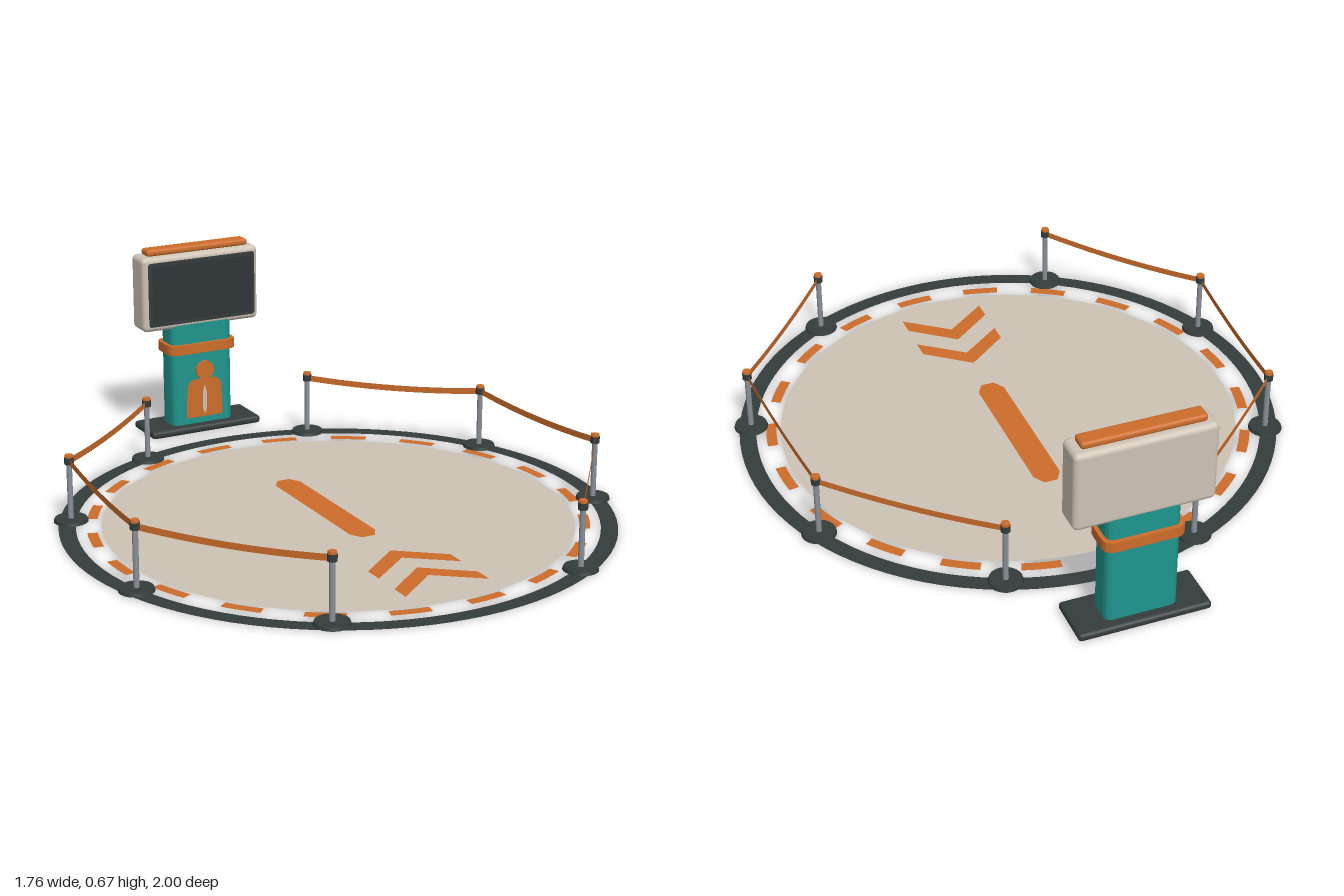
import * as THREE from 'three';
import { toCreasedNormals } from 'three/addons/utils/BufferGeometryUtils.js';
import { RoundedBoxGeometry } from 'three/addons/geometries/RoundedBoxGeometry.js';

const material = (name, color, side = THREE.FrontSide) => {
  const m = new THREE.MeshStandardMaterial({ color, side });
  m.name = name;
  return m;
};

// Rounded rectangle centred on the origin
function roundedRect(w, h, r) {
  const x = w / 2, y = h / 2, s = new THREE.Shape();
  s.moveTo(-x + r, -y);
  s.lineTo(x - r, -y).quadraticCurveTo(x, -y, x, -y + r);
  s.lineTo(x, y - r).quadraticCurveTo(x, y, x - r, y);
  s.lineTo(-x + r, y).quadraticCurveTo(-x, y, -x, y - r);
  s.lineTo(-x, -y + r).quadraticCurveTo(-x, -y, -x + r, -y);
  return s;
}

const polygon = (points) => new THREE.Shape(points.map(([x, y]) => new THREE.Vector2(x, y)));

// Upright prism with rounded vertical edges, standing on y = 0
function prism(w, d, h, r) {
  const g = new THREE.ExtrudeGeometry(roundedRect(w, d, r), { depth: h, bevelEnabled: false, curveSegments: 6 });
  return toCreasedNormals(g.rotateX(-Math.PI / 2), 0.7);
}

// Vertical ribbon sagging between two points
function ribbon(a, b, height, sag, steps = 14) {
  const g = new THREE.PlaneGeometry(1, height, steps, 1);
  const p = g.attributes.position;
  for (let i = 0; i < p.count; i++) {
    const t = p.getX(i) + 0.5;
    const y = p.getY(i) - 4 * sag * t * (1 - t);
    p.setXYZ(i, a.x + (b.x - a.x) * t, a.y + y, a.z + (b.z - a.z) * t);
  }
  g.computeVertexNormals();
  return g;
}

export function createModel() {
  const beige = material('beige', 0xcdc3b5, THREE.DoubleSide);
  const orange = material('orange', 0xcc6c2a, THREE.DoubleSide);
  const dark = material('charcoal', 0x343c3c, THREE.DoubleSide);
  const glass = material('screenGlass', 0x2e3638);
  const teal = material('teal', 0x1f968d);
  const metal = material('metal', 0x8a9099);

  const model = new THREE.Group();
  model.name = 'queueArea';
  const add = (parent, name, geometry, mat, x = 0, y = 0, z = 0) => {
    const mesh = new THREE.Mesh(geometry, mat);
    mesh.name = name;
    mesh.position.set(x, y, z);
    parent.add(mesh);
    return mesh;
  };
  const group = (parent, name, z = 0) => {
    const g = new THREE.Group();
    g.name = name;
    g.position.z = z;
    parent.add(g);
    return g;
  };

  // Floor markings: flat sheets lying on the ground
  const floor = group(model, 'floor', 0.12);
  const lay = (name, geometry, mat, y) => add(floor, name, geometry.rotateX(-Math.PI / 2), mat, 0, y, 0);
  lay('floorDisc', new THREE.CircleGeometry(0.746, 96), beige, 0);
  lay('outerRing', new THREE.RingGeometry(0.826, 0.88, 96), dark, 0.001);
  for (let i = 0; i < 20; i++) {
    lay('dash', new THREE.RingGeometry(0.76, 0.793, 6, 1, i * Math.PI / 10, Math.PI / 20), orange, 0.002);
  }
  const bar = polygon([[-0.045, -0.157], [-0.022, -0.195], [0.022, -0.195], [0.045, -0.157],
    [0.045, 0.342], [0.022, 0.38], [-0.022, 0.38], [-0.045, 0.342]]);
  lay('centreBar', new THREE.ShapeGeometry(bar), orange, 0.004);
  for (const z of [0.33, 0.485]) {
    const arrow = polygon([[0, -z], [-0.143, -z - 0.113], [-0.143, -z - 0.177],
      [0, -z - 0.067], [0.143, -z - 0.177], [0.143, -z - 0.113]]);
    lay('chevron', new THREE.ShapeGeometry(arrow), orange, 0.004);
  }

  // Posts and belts, mirrored on both sides
  const baseGeo = new THREE.CylinderGeometry(0.052, 0.055, 0.01, 24);
  const poleGeo = new THREE.CylinderGeometry(0.009, 0.009, 0.19, 14);
  const collarGeo = new THREE.CylinderGeometry(0.015, 0.015, 0.022, 14);
  const capGeo = new THREE.CylinderGeometry(0.013, 0.014, 0.009, 14);
  for (const side of [1, -1]) {
    const barrier = group(model, side > 0 ? 'leftBarrier' : 'rightBarrier', 0.12);
    const spots = [];
    for (let i = 0; i < 4; i++) {
      const a = THREE.MathUtils.degToRad(60 - i * 42.86);
      const x = side * 0.842 * Math.cos(a), z = 0.842 * Math.sin(a);
      spots.push(new THREE.Vector3(x, 0.203, z));
      add(barrier, 'postBase', baseGeo, dark, x, 0.009, z);
      add(barrier, 'postPole', poleGeo, metal, x, 0.105, z);
      add(barrier, 'postCollar', collarGeo, dark, x, 0.205, z);
      add(barrier, 'postCap', capGeo, orange, x, 0.22, z);
    }
    for (let i = 0; i < 3; i++) {
      add(barrier, 'belt', ribbon(spots[i], spots[i + 1], 0.021, 0.013), orange);
    }
  }

  // Kiosk body
  const kiosk = group(model, 'kiosk', -0.917);
  add(kiosk, 'kioskBase', new RoundedBoxGeometry(0.42, 0.026, 0.166, 3, 0.011), dark, 0, 0.017, 0);
  add(kiosk, 'kioskColumn', prism(0.23, 0.1, 0.37, 0.028), teal, 0, 0.025, 0);
  add(kiosk, 'kioskBand', prism(0.256, 0.128, 0.034, 0.036), orange, 0, 0.291, 0);
  add(kiosk, 'displayHousing', new RoundedBoxGeometry(0.44, 0.264, 0.1, 4, 0.018), beige, 0, 0.516, 0);
  add(kiosk, 'topLight', new RoundedBoxGeometry(0.384, 0.024, 0.055, 3, 0.01), orange, 0, 0.658, 0);

  // Display sheets on the front of the housing
  add(kiosk, 'displayFrame', new THREE.ShapeGeometry(roundedRect(0.406, 0.227, 0.012)), dark, 0, 0.517, 0.056);
  add(kiosk, 'displayScreen', new THREE.ShapeGeometry(roundedRect(0.38, 0.2, 0.008)), glass, 0, 0.517, 0.06);

  // Figure sign on the column
  const torso = new THREE.Shape();
  torso.moveTo(-0.058, 0.055);
  torso.lineTo(0.058, 0.055).quadraticCurveTo(0.07, 0.055, 0.07, 0.067);
  torso.lineTo(0.066, 0.16).quadraticCurveTo(0.064, 0.193, 0.035, 0.195);
  torso.lineTo(-0.035, 0.195).quadraticCurveTo(-0.064, 0.193, -0.066, 0.16);
  torso.lineTo(-0.07, 0.067).quadraticCurveTo(-0.07, 0.055, -0.058, 0.055);
  add(kiosk, 'signTorso', new THREE.ShapeGeometry(torso), orange, 0, 0, 0.06);
  const strip = polygon([[0, 0.065], [0.008, 0.085], [0.008, 0.145], [0, 0.175], [-0.008, 0.145], [-0.008, 0.085]]);
  add(kiosk, 'signStrip', new THREE.ShapeGeometry(strip), beige, 0, 0, 0.064);
  const head = new THREE.CylinderGeometry(0.034, 0.034, 0.008, 28).rotateX(Math.PI / 2);
  add(kiosk, 'signHead', head, orange, 0, 0.227, 0.066);

  return model;
}
